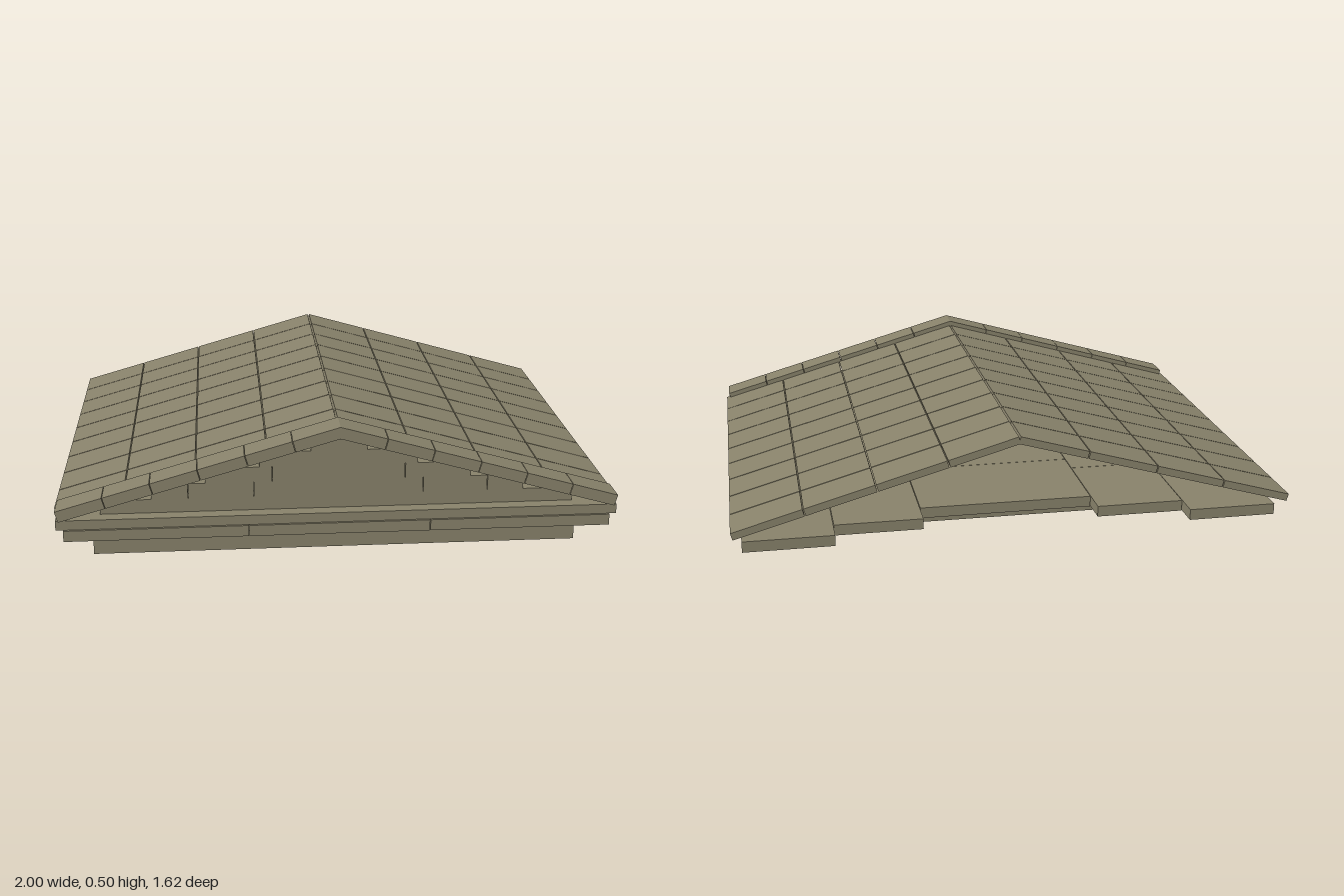
import * as THREE from 'three';
import { mergeGeometries } from 'three/addons/utils/BufferGeometryUtils.js';

const GAP = 0.004;
const SLOPE = 0.285;
const ANGLE = Math.atan(SLOPE);

export function createModel() {
  const stone = new THREE.MeshStandardMaterial({ color: 0x87816a });
  stone.name = 'weathered stone';
  const model = new THREE.Group();
  model.name = 'templeRoof';

  const group = (name) => {
    const g = new THREE.Group();
    g.name = name;
    model.add(g);
    return g;
  };

  // Block given by its limits on each axis, shrunk slightly to leave a joint
  const block = (parent, name, x0, x1, y0, y1, z0, z1, jx = 0, jz = 0) => {
    const mesh = new THREE.Mesh(new THREE.BoxGeometry(x1 - x0 - jx, y1 - y0, z1 - z0 - jz), stone);
    mesh.position.set((x0 + x1) / 2, (y0 + y1) / 2, (z0 + z1) / 2);
    mesh.name = name;
    parent.add(mesh);
  };

  // Cross beams at the bottom
  const beams = group('ceilingBeams');
  for (let i = 0; i < 8; i++) {
    const z = 0.655 - i * 0.142;
    block(beams, 'ceilingBeam', -0.875, 0.875, 0, 0.07, z - 0.02, z + 0.02);
  }

  // Ceiling slabs: wide front row, then columns ending in steps at the back
  const slabs = group('ceilingSlabs');
  const slab = (x0, x1, z0, z1) =>
    block(slabs, 'ceilingSlab', x0, x1, 0.11, 0.15, z0, z1, GAP / 2, GAP / 2);
  for (const [x0, x1] of [[-0.965, -0.32], [-0.32, 0.32], [0.32, 0.965]]) slab(x0, x1, 0.61, 0.81);
  const column = (x0, x1, cuts) => {
    for (let i = 0; i + 1 < cuts.length; i++) slab(x0, x1, cuts[i + 1], cuts[i]);
  };
  column(-0.32, 0.32, [0.61, 0.22, -0.18, -0.58]);
  for (const s of [-1, 1]) {
    const inner = [0.32 * s, 0.642 * s].sort((a, b) => a - b);
    const outer = [0.642 * s, 0.965 * s].sort((a, b) => a - b);
    column(...inner, [0.61, 0.41, 0.02, -0.28, -0.68]);
    column(...outer, [0.61, 0.22, -0.18, -0.38, -0.77]);
  }

  // Horizontal cornice across the front
  block(group('horizontalCornice'), 'corniceBlock', -0.99, 0.99, 0.15, 0.185, 0.7, 0.8);

  // Stepped gable wall; each row lists its joints from left to right
  const gable = group('gableWall');
  const rows = [
    [0.185, 0.235, [-0.84, 0.84]],
    [0.235, 0.29, [-0.66, -0.53, -0.3, 0.3, 0.53, 0.66]],
    [0.29, 0.345, [-0.47, -0.235, 0.235, 0.47]],
    [0.345, 0.4, [-0.28, 0.28]],
    [0.4, 0.44, [-0.1, 0.1]],
  ];
  for (const [y0, y1, xs] of rows) {
    for (let i = 0; i + 1 < xs.length; i++) {
      block(gable, 'gableBlock', xs[i], xs[i + 1], y0, y1, 0.7, 0.75, GAP / 2);
    }
  }

  // Raking cornice: six blocks a side, mitred at the ridge
  const rake = group('rakingCornice');
  const thick = 0.041;
  const top = (x) => 0.505 - SLOPE * x;
  for (const s of [-1, 1]) {
    for (let i = 0; i < 6; i++) {
      const a = i * 0.165 + (i ? GAP / 2 : 0);
      const b = (i + 1) * 0.165;
      const dx = thick * Math.sin(ANGLE);
      const dy = thick * Math.cos(ANGLE);
      const low = i ? [a - dx, top(a) - dy] : [0, top(0) - thick / Math.cos(ANGLE)];
      const pts = [[a, top(a)], [b, top(b)], [b - dx, top(b) - dy], low];
      const shape = new THREE.Shape(pts.map(([x, y]) => new THREE.Vector2(s * x, y)));
      const mesh = new THREE.Mesh(
        new THREE.ExtrudeGeometry(shape, { depth: 0.11, bevelEnabled: false }), stone);
      mesh.position.z = 0.7;
      mesh.name = 'rakingBlock';
      rake.add(mesh);
    }
  }

  // One roof tile: thin plate with a rim around its underside
  const depth = 0.027, plate = 0.01, rim = 0.013;
  const pitchU = 1 / Math.cos(ANGLE) / 4;
  const pitchZ = 0.17;
  const w = pitchU - GAP, l = pitchZ - GAP;
  const part = (sx, sy, sz, x, y, z) => new THREE.BoxGeometry(sx, sy, sz).translate(x, y, z);
  const rimH = depth - plate, rimY = -plate - rimH / 2;
  const tileGeometry = mergeGeometries([
    part(w, plate, l, 0, -plate / 2, 0),
    part(rim, rimH, l, (w - rim) / 2, rimY, 0),
    part(rim, rimH, l, (rim - w) / 2, rimY, 0),
    part(w - 2 * rim, rimH, rim, 0, rimY, (l - rim) / 2),
    part(w - 2 * rim, rimH, rim, 0, rimY, (rim - l) / 2),
  ]);

  // Both roof slopes, four tiles down by nine along
  for (const s of [-1, 1]) {
    const slope = group(s > 0 ? 'leftRoofSlope' : 'rightRoofSlope');
    slope.position.y = 0.486;
    slope.rotation.z = -s * ANGLE;
    for (let i = 0; i < 4; i++) {
      for (let j = 0; j < 9; j++) {
        const tile = new THREE.Mesh(tileGeometry, stone);
        tile.position.set(s * (i + 0.5) * pitchU + s * GAP / 2, 0, -0.81 + (j + 0.5) * pitchZ);
        tile.name = 'roofTile';
        slope.add(tile);
      }
    }
  }

  return model;
}
